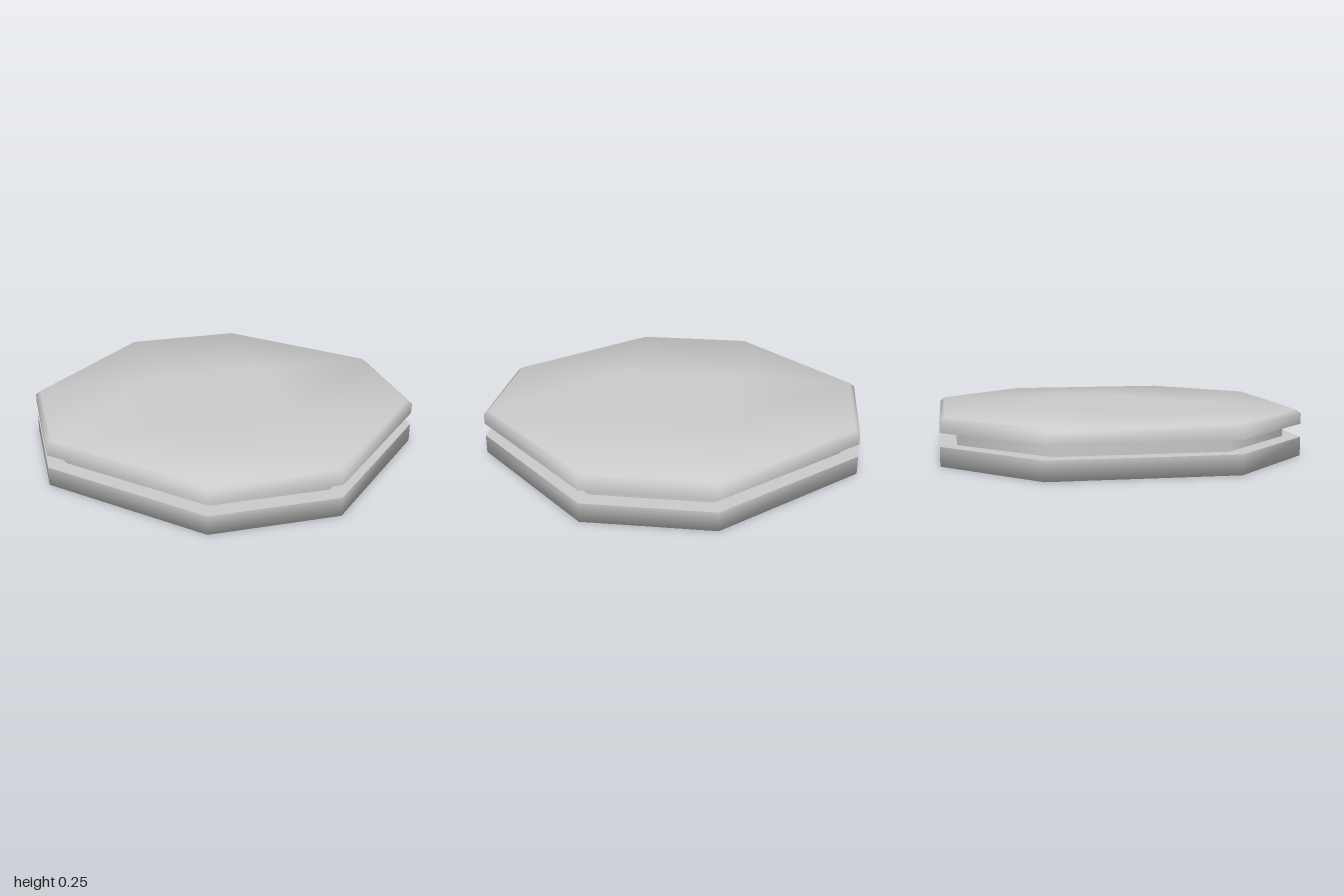
import * as THREE from 'three';

const K = 0.333; // half-length of the straight sides, and of the flat centre square

// Octagon corners [x, z, normalX, normalZ], running from +x towards +z
const C = Math.cos(Math.PI / 8), S = Math.sin(Math.PI / 8);
const corners = [];
for (let q = 0; q < 4; q++) {
  const c = Math.round(Math.cos(q * Math.PI / 2)), s = Math.round(Math.sin(q * Math.PI / 2));
  for (const [x, z, nx, nz] of [[1, K, C, S], [K, 1, S, C]]) {
    corners.push([x * c - z * s, x * s + z * c, nx * c - nz * s, nx * s + nz * c]);
  }
}

// Octagonal band: rings of [scale, y, normal tilt in degrees], listed bottom to top.
// cap = 1 closes the top, cap = -1 closes the bottom, 0 leaves it open.
function octagonShell(name, rings, cap = 0) {
  const pos = [], nor = [], idx = [];
  for (const [r, y, tilt] of rings) {
    const t = THREE.MathUtils.degToRad(tilt);
    for (const [x, z, nx, nz] of corners) {
      pos.push(x * r, y, z * r);
      nor.push(nx * Math.cos(t), Math.sin(t), nz * Math.cos(t));
    }
  }
  for (let k = 0; k < rings.length - 1; k++) {
    for (let i = 0; i < 8; i++) {
      const a = k * 8 + i, b = k * 8 + (i + 1) % 8;
      idx.push(a, a + 8, b, b, a + 8, b + 8);
    }
  }
  if (cap) {
    // Flat centre square joined to the octagon by four panels and four corner triangles
    const edge = cap > 0 ? (rings.length - 1) * 8 : 0;
    const inner = rings.length * 8;
    const y = rings[edge / 8][1];
    const tri = (a, b, c) => (cap > 0 ? idx.push(a, c, b) : idx.push(a, b, c));
    for (const [x, z] of [[K, K], [-K, K], [-K, -K], [K, -K]]) {
      pos.push(x, y, z);
      nor.push(0, cap, 0);
    }
    for (let q = 0; q < 4; q++) {
      const a = edge + 2 * q, b = a + 1, c = edge + (2 * q + 2) % 8;
      const p = inner + q, n = inner + (q + 1) % 4;
      tri(a, b, p);
      tri(b, c, n);
      tri(b, n, p);
    }
    tri(inner, inner + 1, inner + 2);
    tri(inner, inner + 2, inner + 3);
  }
  const geo = new THREE.BufferGeometry();
  geo.setAttribute('position', new THREE.Float32BufferAttribute(pos, 3));
  geo.setAttribute('normal', new THREE.Float32BufferAttribute(nor, 3));
  geo.setIndex(idx);
  const mesh = new THREE.Mesh(geo, new THREE.MeshStandardMaterial({ color: 0xcccccc }));
  mesh.name = name;
  return mesh;
}

export function createModel() {
  const group = new THREE.Group();
  group.name = 'groovedOctagonPlate';
  group.add(
    // Lower plate with a soft-shaded bottom rim
    octagonShell('lowerPlate', [[1, 0, -45], [1, 0.1, 0]], -1),
    // Recessed groove between the plates, with hard-edged ledges
    octagonShell('lowerLedge', [[1, 0.1, 90], [0.91, 0.1, 90]]),
    octagonShell('grooveWall', [[0.91, 0.1, 0], [0.91, 0.17, 0]]),
    octagonShell('upperLedge', [[0.91, 0.17, -90], [1, 0.17, -90]]),
    // Upper plate with a small bevel around the top
    octagonShell('upperPlate', [[1, 0.17, 0], [1, 0.225, 22], [0.975, 0.245, 67]], 1),
  );
  return group;
}
